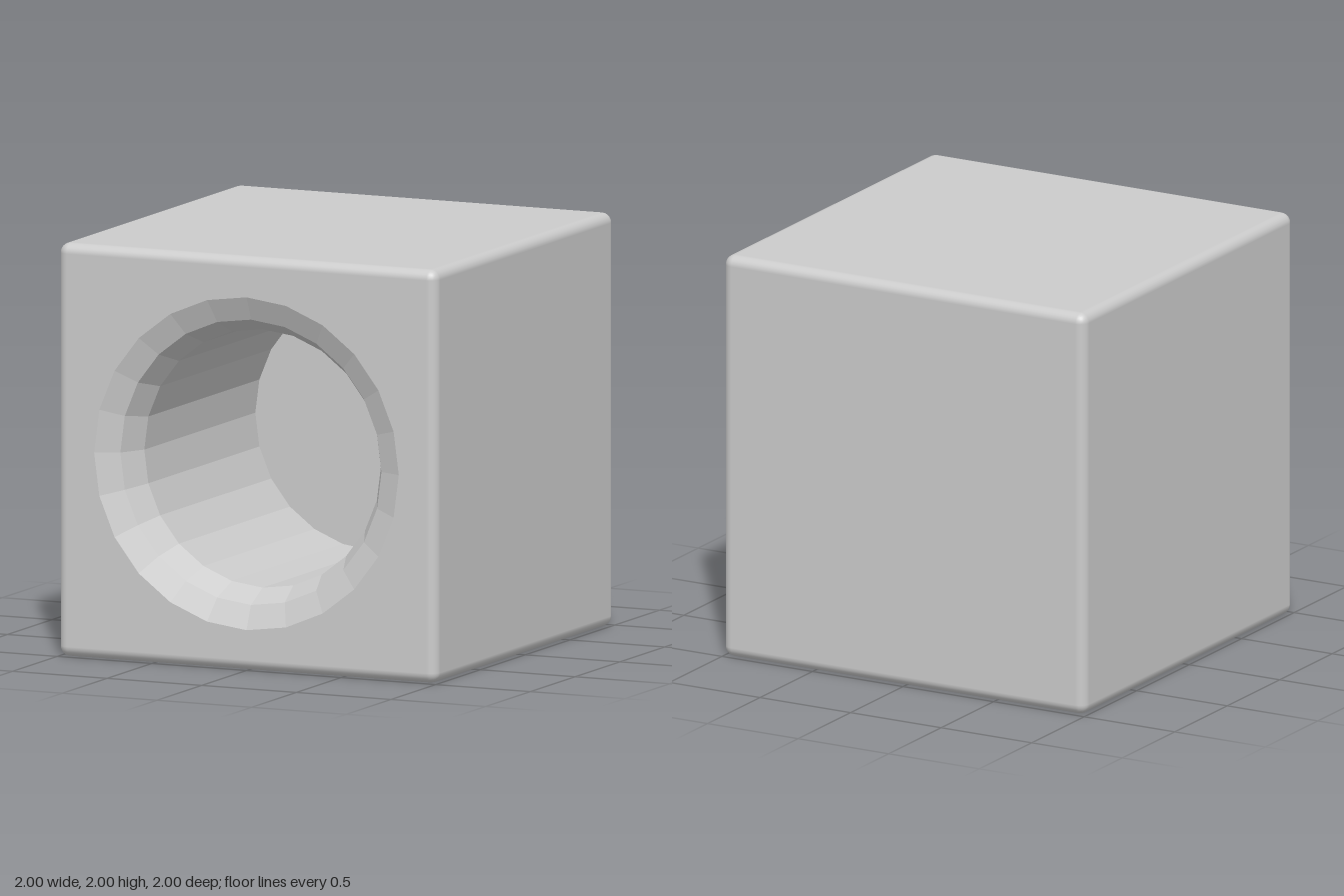
import * as THREE from 'three';
import { RoundedBoxGeometry } from 'three/addons/geometries/RoundedBoxGeometry.js';

const EDGE = 0.05, FLAT = 1 - EDGE, SIDES = 24, MOUTH = 0.805;
const SLOT = { x0: 0.63, x1: 0.83, z0: -0.345, z1: 0.378, depth: 0.2 };

const rect = (T, x0, y0, x1, y1) => new T([[x0, y0], [x1, y0], [x1, y1], [x0, y1]]
  .map(([x, y]) => new THREE.Vector2(x, y)));

// Rounded cube without the flat middles of its front and bottom
function shellGeometry() {
  const box = new RoundedBoxGeometry(2, 2, 2, 3, EDGE);
  const src = box.index ? box.toNonIndexed() : box;
  const p = src.attributes.position, n = src.attributes.normal;
  const pos = [], nor = [];
  for (let i = 0; i < p.count; i += 3) {
    const tri = [i, i + 1, i + 2];
    const inner = (f) => tri.every((j) => Math.abs(f(j)) < FLAT + 1e-3);
    const front = tri.every((j) => p.getZ(j) > 0.9999) && inner((j) => p.getX(j)) && inner((j) => p.getY(j));
    const bottom = tri.every((j) => p.getY(j) < -0.9999) && inner((j) => p.getX(j)) && inner((j) => p.getZ(j));
    if (front || bottom) continue;
    for (const j of tri) {
      pos.push(p.getX(j), p.getY(j), p.getZ(j));
      nor.push(n.getX(j), n.getY(j), n.getZ(j));
    }
  }
  const g = new THREE.BufferGeometry();
  g.setAttribute('position', new THREE.Float32BufferAttribute(pos, 3));
  g.setAttribute('normal', new THREE.Float32BufferAttribute(nor, 3));
  return g;
}

// Wedge-shaped recess: sloping roof, one upright side, two triangular ends
function slotGeometry() {
  const { x0, x1, z0, z1, depth } = SLOT, top = -1 + depth;
  const g = new THREE.BufferGeometry();
  g.setAttribute('position', new THREE.Float32BufferAttribute([
    x0, -1, z0, x1, -1, z0, x1, top, z0,
    x0, -1, z1, x1, -1, z1, x1, top, z1], 3));
  g.setIndex([0, 2, 5, 0, 5, 3, 1, 4, 5, 1, 5, 2, 0, 1, 2, 3, 5, 4]);
  const flat = g.toNonIndexed();
  flat.computeVertexNormals();
  return flat;
}

export function createModel() {
  const model = new THREE.Group();
  const smooth = new THREE.MeshStandardMaterial({ color: 0xcccccc });
  const faceted = new THREE.MeshStandardMaterial({ color: 0xcccccc, flatShading: true, side: THREE.DoubleSide });
  const add = (name, geometry, material) => {
    const mesh = new THREE.Mesh(geometry, material);
    mesh.name = name;
    mesh.position.y = 1;
    model.add(mesh);
  };

  add('roundedShell', shellGeometry(), smooth);

  // Front panel with a polygonal round opening
  const front = rect(THREE.Shape, -FLAT, -FLAT, FLAT, FLAT);
  const ring = [];
  for (let i = 0; i < SIDES; i++) {
    const a = (i / SIDES) * Math.PI * 2;
    ring.push(new THREE.Vector2(MOUTH * Math.cos(a), MOUTH * Math.sin(a)));
  }
  front.holes.push(new THREE.Path(ring));
  add('frontPanel', new THREE.ShapeGeometry(front).translate(0, 0, 1), smooth);

  // Bottom panel with the slot opening
  const bottom = rect(THREE.Shape, -FLAT, -FLAT, FLAT, FLAT);
  bottom.holes.push(rect(THREE.Path, SLOT.x0, SLOT.z0, SLOT.x1, SLOT.z1));
  add('bottomPanel', new THREE.ShapeGeometry(bottom).rotateX(Math.PI / 2).translate(0, -1, 0), smooth);

  // Blind bore with a rounded lip
  const profile = [[MOUTH, 1], [0.69, 0.95], [0.625, 0.82], [0.625, -0.42], [0, -0.42]]
    .map(([r, z]) => new THREE.Vector2(r, z));
  add('bore', new THREE.LatheGeometry(profile, SIDES).rotateX(Math.PI / 2), faceted);

  add('bottomSlot', slotGeometry(), faceted);
  return model;
}
